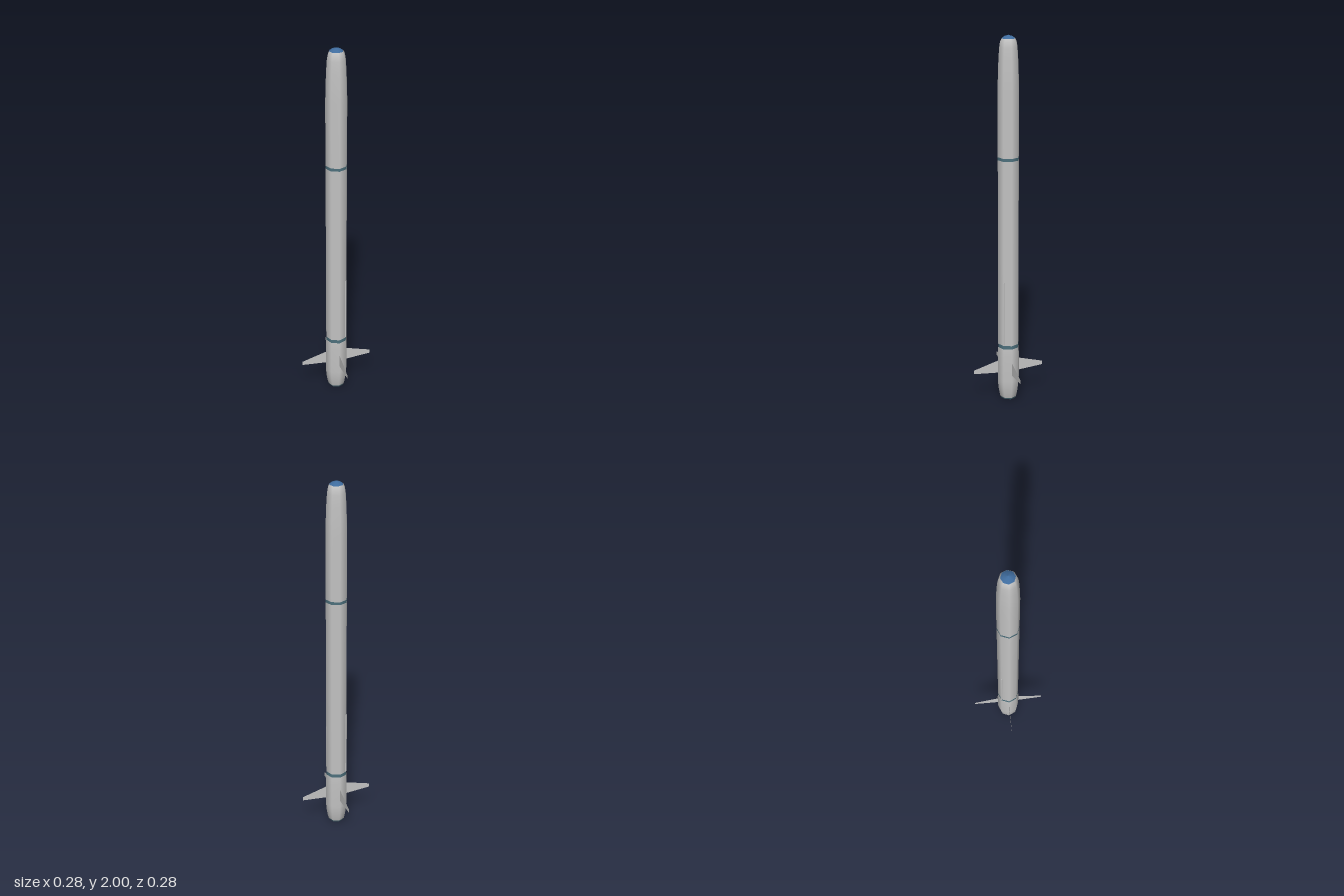
import * as THREE from 'three';

const SIDES = 8;

export function createModel() {
  const model = new THREE.Group();
  const material = (name, color) => {
    const m = new THREE.MeshStandardMaterial({ color, side: THREE.DoubleSide });
    m.name = name;
    return m;
  };
  const grey = material('light grey', 0xc6c6c6);
  const teal = material('teal band', 0x4f7380);
  const blue = material('nose blue', 0x3f6c9e);
  const dark = material('nozzle dark', 0x3c4548);

  const add = (name, geometry, mat, parent = model) => {
    const mesh = new THREE.Mesh(geometry, mat);
    mesh.name = name;
    parent.add(mesh);
    return mesh;
  };
  // Eight-sided turned section from [radius, height] pairs, bottom to top
  const turned = (name, profile, mat) =>
    add(name, new THREE.LatheGeometry(profile.map(([r, y]) => new THREE.Vector2(r, y)), SIDES), mat);

  // Tail
  turned('nozzle', [[0, 0.004], [0.041, 0]], dark);
  turned('tailRim', [[0.041, 0], [0.046, 0.01]], teal);
  turned('tail', [[0.046, 0.01], [0.051, 0.03], [0.057, 0.065], [0.061, 0.11],
    [0.061, 0.26], [0.058, 0.305]], grey);

  // Body with two coloured bands
  turned('lowerBand', [[0.058, 0.305], [0.058, 0.325]], teal);
  turned('lowerBody', [[0.058, 0.325], [0.058, 1.355]], grey);
  turned('upperBand', [[0.058, 1.355], [0.058, 1.371]], teal);
  turned('upperBody', [[0.058, 1.371], [0.058, 1.72], [0.056, 1.80], [0.053, 1.88],
    [0.049, 1.94], [0.044, 1.968], [0.036, 1.983]], grey);
  turned('noseTip', [[0.036, 1.983], [0.022, 1.993], [0, 2]], blue);

  // Shallow fairings along both sides
  for (const side of [-1, 1]) {
    const fairing = add(side > 0 ? 'leftFairing' : 'rightFairing',
      new THREE.CylinderGeometry(0.005, 0.005, 0.36, 6), grey);
    fairing.position.set(side * 0.057, 0.51, 0);
  }

  // Four thin swept fins on the diagonals
  const finShape = new THREE.Shape([
    [0.055, 0.152], [0.198, 0.164], [0.198, 0.185], [0.055, 0.226],
  ].map(([x, y]) => new THREE.Vector2(x, y)));
  const finGeometry = new THREE.ShapeGeometry(finShape);
  for (let i = 0; i < 4; i++) {
    add('fin' + (i + 1), finGeometry, grey).rotation.y = Math.PI / 4 + i * Math.PI / 2;
  }
  return model;
}
